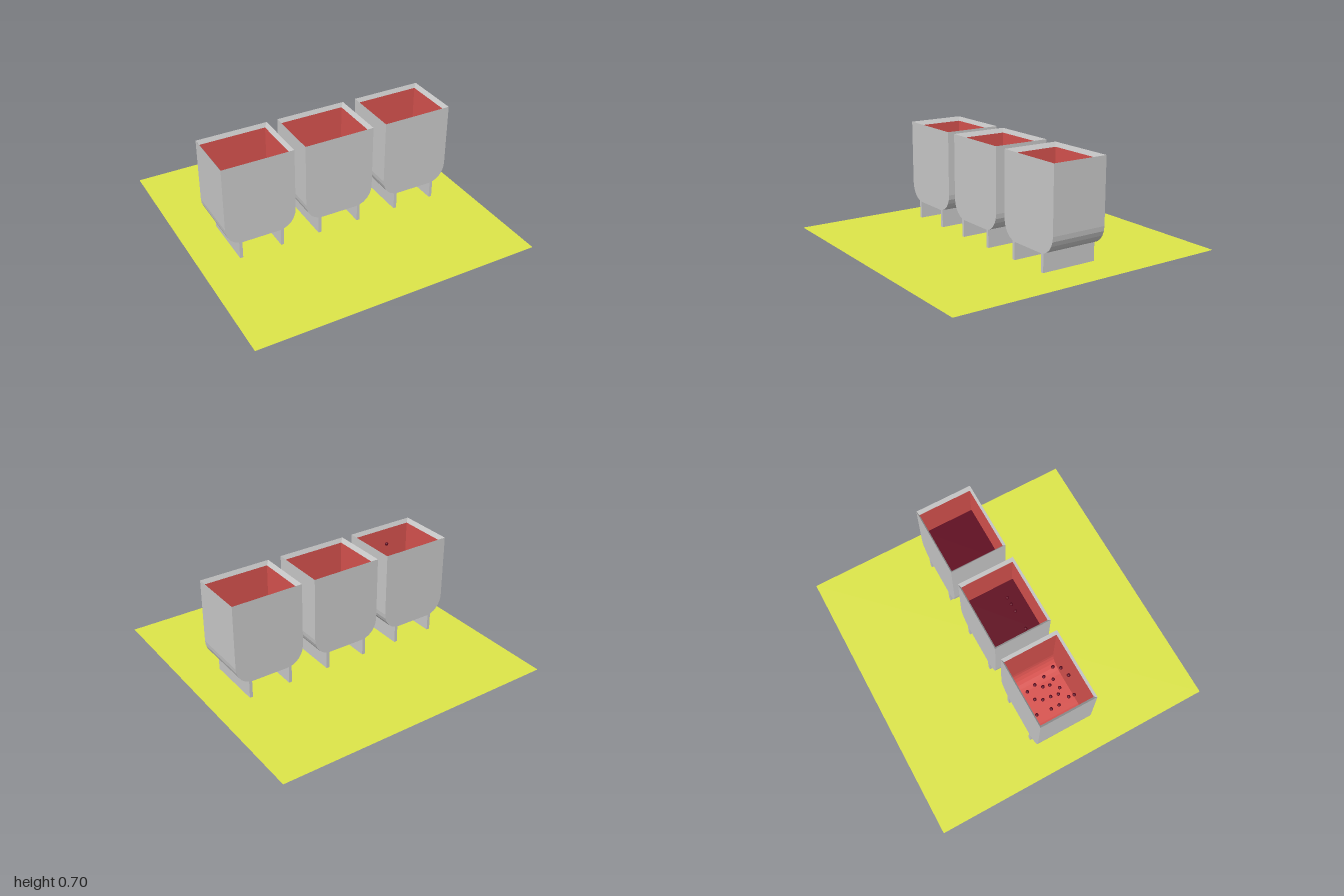
import * as THREE from 'three';

const mat = (color) => new THREE.MeshStandardMaterial({ color, flatShading: true, side: THREE.DoubleSide });

// Skin a list of rectangular rings [halfWidth, y, halfDepth], with optional end caps
function loft(rings, capStart, capEnd) {
  const pos = [];
  const corners = rings.map(([w, y, d]) => [[-w, y, d], [w, y, d], [w, y, -d], [-w, y, -d]]);
  const quad = (a, b, c, d) => [a, b, c, a, c, d].forEach((p) => pos.push(...p));
  for (let k = 0; k < corners.length - 1; k++) {
    const a = corners[k], b = corners[k + 1];
    for (let i = 0; i < 4; i++) {
      const j = (i + 1) % 4;
      quad(a[i], a[j], b[j], b[i]);
    }
  }
  if (capStart) quad(...[...corners[0]].reverse());
  if (capEnd) quad(...corners[corners.length - 1]);
  const g = new THREE.BufferGeometry();
  g.setAttribute('position', new THREE.Float32BufferAttribute(pos, 3));
  g.computeVertexNormals();
  return g;
}

// Rings of a rounded lower corner, from the floor up
function roundedBottom(halfWidth, halfDepth, floorY, rx, ry) {
  const rings = [];
  for (let i = 0; i <= 6; i++) {
    const t = (i / 6) * Math.PI / 2;
    rings.push([halfWidth - rx + rx * Math.sin(t), floorY + ry * (1 - Math.cos(t)), halfDepth]);
  }
  return rings;
}

export function createModel() {
  const model = new THREE.Group();
  model.name = 'vatsOnGround';
  const grey = mat(0xcccccc);
  const red = mat(0xd9534f);
  const wine = mat(0x600b20);
  const yellow = mat(0xdde649);

  const add = (parent, name, geometry, material, x = 0, y = 0, z = 0) => {
    const m = new THREE.Mesh(geometry, material);
    m.name = name;
    m.position.set(x, y, z);
    parent.add(m);
    return m;
  };

  // Ground sheet
  add(model, 'ground', new THREE.PlaneGeometry(2, 2).rotateX(-Math.PI / 2), yellow);

  const W = 0.2475, D = 0.2, TOP = 0.705;
  const rim = [W - 0.018, TOP - 0.03, D - 0.012];

  // Outer shell with a rim that slopes inward
  const shellGeo = loft([...roundedBottom(W, D, 0.13, 0.12, 0.13), [W, TOP, D], rim], true, false);
  // Inner lining, from the rim down to the floor
  const liningGeo = loft([rim, ...roundedBottom(rim[0], rim[2], 0.15, 0.11, 0.12).reverse()], false, true);
  const legGeo = new THREE.BoxGeometry(0.022, 0.14, 2 * D);
  const liquidGeo = new THREE.BoxGeometry(0.43, 0.01, 0.36);
  const berryGeo = new THREE.SphereGeometry(0.012, 10, 8);

  const LEVEL = 0.42;
  const vats = [-0.575, -0.0025, 0.5875].map((x, i) => {
    const vat = new THREE.Group();
    vat.name = ['fruitVat', 'middleVat', 'leftVat'][i];
    vat.position.x = x;
    model.add(vat);
    add(vat, 'shell', shellGeo, grey);
    add(vat, 'lining', liningGeo, red);
    for (const s of [-1, 1]) add(vat, 'leg', legGeo, grey, s * 0.147, 0.08, 0);
    if (i > 0) add(vat, 'liquid', liquidGeo, wine, 0, LEVEL, 0.004);
    return vat;
  });

  // Berries tumbling into the first vat: x, z, and height where it is high
  const berries = [
    [-0.65, -0.11], [-0.58, -0.09], [-0.495, -0.095], [-0.505, -0.05], [-0.6, -0.04],
    [-0.665, -0.01], [-0.535, -0.005], [-0.6, 0.02], [-0.49, 0.025], [-0.54, 0.045],
    [-0.67, 0.045], [-0.63, 0.055], [-0.51, 0.09], [-0.485, 0.09, 0.54], [-0.59, 0.09],
    [-0.655, 0.125], [-0.59, 0.14, 0.585], [-0.51, 0.135, 0.52], [-0.655, 0.17],
  ];
  berries.forEach(([x, z, y], i) =>
    add(vats[0], 'berry', berryGeo, wine, x + 0.575, y ?? 0.25 + 0.2 * ((i * 0.618) % 1), z));

  // Berries floating in the middle vat
  for (const x of [-0.14, 0, 0.055, 0.11]) add(vats[1], 'berry', berryGeo, wine, x, LEVEL + 0.01, 0.085);

  return model;
}
